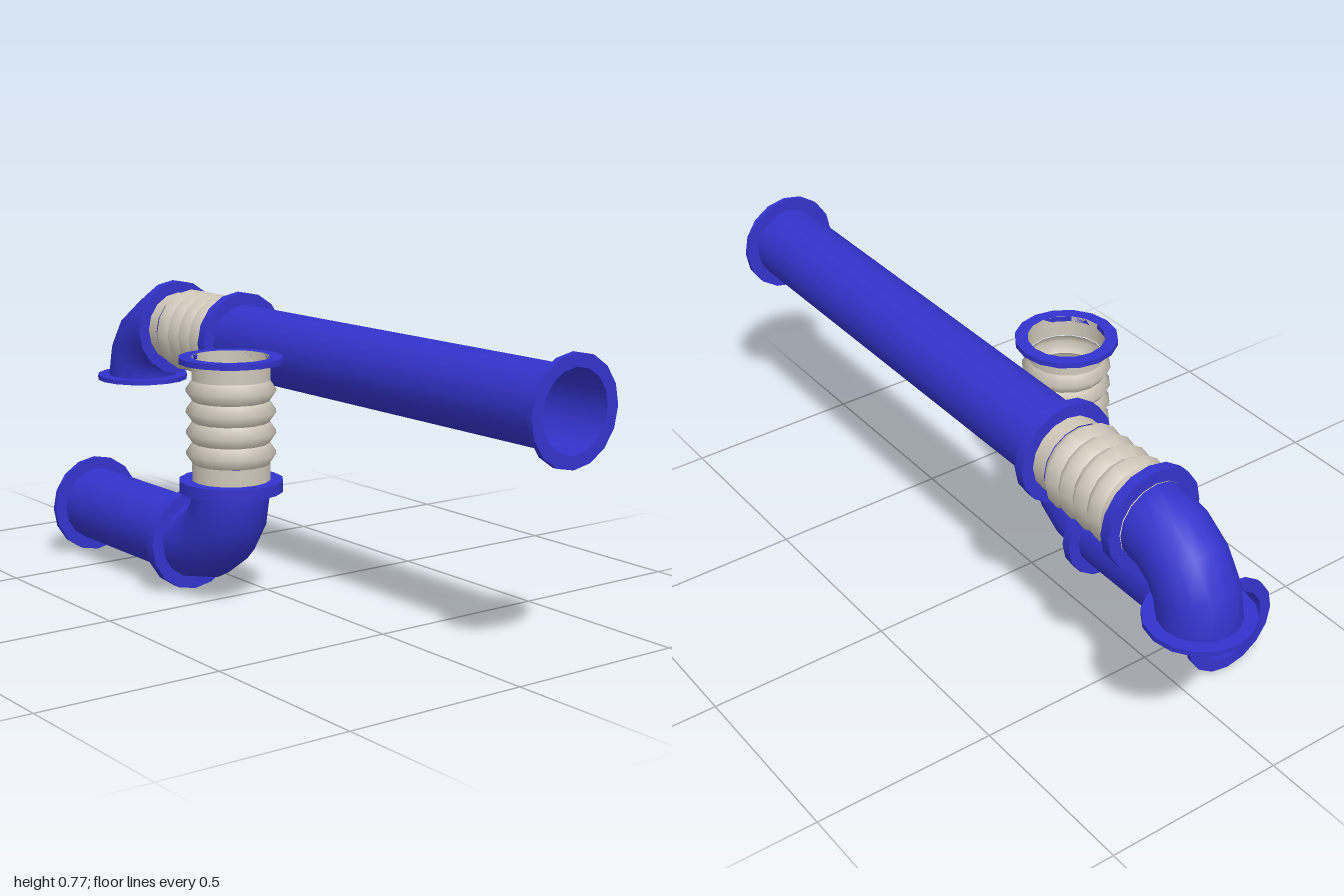
import * as THREE from 'three';
import { mergeGeometries } from 'three/addons/utils/BufferGeometryUtils.js';

const SIDES = 16, R = 0.104, FLANGE_R = 0.138, BEND_R = 0.172;

// Circular arc in the xy plane, used as the centre line of an elbow
class Bend extends THREE.Curve {
  constructor(cx, cy, from, to) {
    super();
    Object.assign(this, { cx, cy, from, to });
  }
  getPoint(t, target = new THREE.Vector3()) {
    const a = this.from + (this.to - this.from) * t;
    return target.set(this.cx + BEND_R * Math.cos(a), this.cy + BEND_R * Math.sin(a), 0);
  }
}

// Turned part whose profile strips [r, y] are smooth within and sharp between
function turned(strips) {
  return mergeGeometries(strips.map((s) =>
    new THREE.LatheGeometry(s.map(([r, y]) => new THREE.Vector2(r, y)), SIDES)));
}

function pipeGeometry(a, b) {
  return turned([[[R, a], [R, b]]]);
}

function flangeGeometry(a, b) {
  const p = [[FLANGE_R, a], [FLANGE_R, b], [R, b], [R, a]];
  return turned(p.map((q, i) => [q, p[(i + 1) % 4]]));
}

// Hose with four ridges between two plain ends
function bellowsGeometry(a, b) {
  const pitch = 0.0555, start = (a + b) / 2 - 2 * pitch, end = start + 4 * pitch;
  const strips = [[[R, a], [R, start]], [[R, end], [R, b]]];
  for (let i = 0; i < 4; i++) {
    const y = start + i * pitch;
    strips.push([[0.101, y], [0.12, y + pitch / 2], [0.101, y + pitch]]);
  }
  return turned(strips);
}

export function createModel() {
  const blue = new THREE.MeshStandardMaterial({ color: 0x3333cc, side: THREE.DoubleSide });
  blue.name = 'blue paint';
  const grey = new THREE.MeshStandardMaterial({ color: 0xd0c8ba, side: THREE.DoubleSide });
  grey.name = 'warm grey rubber';

  const model = new THREE.Group();
  model.name = 'pipes';

  function add(parent, name, geometry, material) {
    const mesh = new THREE.Mesh(geometry, material);
    mesh.name = name;
    parent.add(mesh);
    return mesh;
  }
  // Lay a turned part along x at height y
  function addAlongX(parent, name, geometry, material, y) {
    geometry.rotateZ(-Math.PI / 2).translate(0, y, 0);
    return add(parent, name, geometry, material);
  }
  function addUpright(parent, name, geometry, material, x) {
    geometry.translate(x, 0, 0);
    return add(parent, name, geometry, material);
  }
  function addElbow(parent, name, ...arc) {
    return add(parent, name, new THREE.TubeGeometry(new Bend(...arc), 4, R, SIDES), blue);
  }

  // Upper run: long pipe, hose and elbow turning down
  const upper = new THREE.Group();
  upper.name = 'upperRun';
  upper.position.z = -0.15;
  const uy = 0.633;
  addAlongX(upper, 'longPipe', pipeGeometry(-0.335, 1), blue, uy);
  addAlongX(upper, 'longPipeEndFlange', flangeGeometry(0.985, 1), blue, uy);
  addAlongX(upper, 'innerCollar', flangeGeometry(-0.35, -0.321), blue, uy);
  addAlongX(upper, 'upperHose', bellowsGeometry(-0.675, -0.335), grey, uy);
  addAlongX(upper, 'outerCollar', flangeGeometry(-0.687, -0.658), blue, uy);
  addElbow(upper, 'upperElbow', -0.69, uy - BEND_R, Math.PI / 2, Math.PI);
  addUpright(upper, 'upperElbowFlange', flangeGeometry(0.452, 0.466), blue, -0.69 - BEND_R);

  // Lower run: short pipe, elbow turning up and upright hose
  const lower = new THREE.Group();
  lower.name = 'lowerRun';
  lower.position.z = 0.15;
  const ly = 0.14, lx = 0.048, bx = lx - BEND_R;
  addAlongX(lower, 'shortPipe', pipeGeometry(-0.657, bx), blue, ly);
  addAlongX(lower, 'shortPipeEndFlange', flangeGeometry(-0.657, -0.643), blue, ly);
  addAlongX(lower, 'shortPipeCollar', flangeGeometry(-0.154, -0.125), blue, ly);
  addElbow(lower, 'lowerElbow', bx, ly + BEND_R, -Math.PI / 2, 0);
  addUpright(lower, 'hoseCollar', flangeGeometry(0.31, 0.34), blue, lx);
  addUpright(lower, 'lowerHose', bellowsGeometry(0.325, 0.665), grey, lx);
  addUpright(lower, 'hoseTopFlange', flangeGeometry(0.65, 0.665), blue, lx);

  model.add(upper, lower);
  return model;
}
